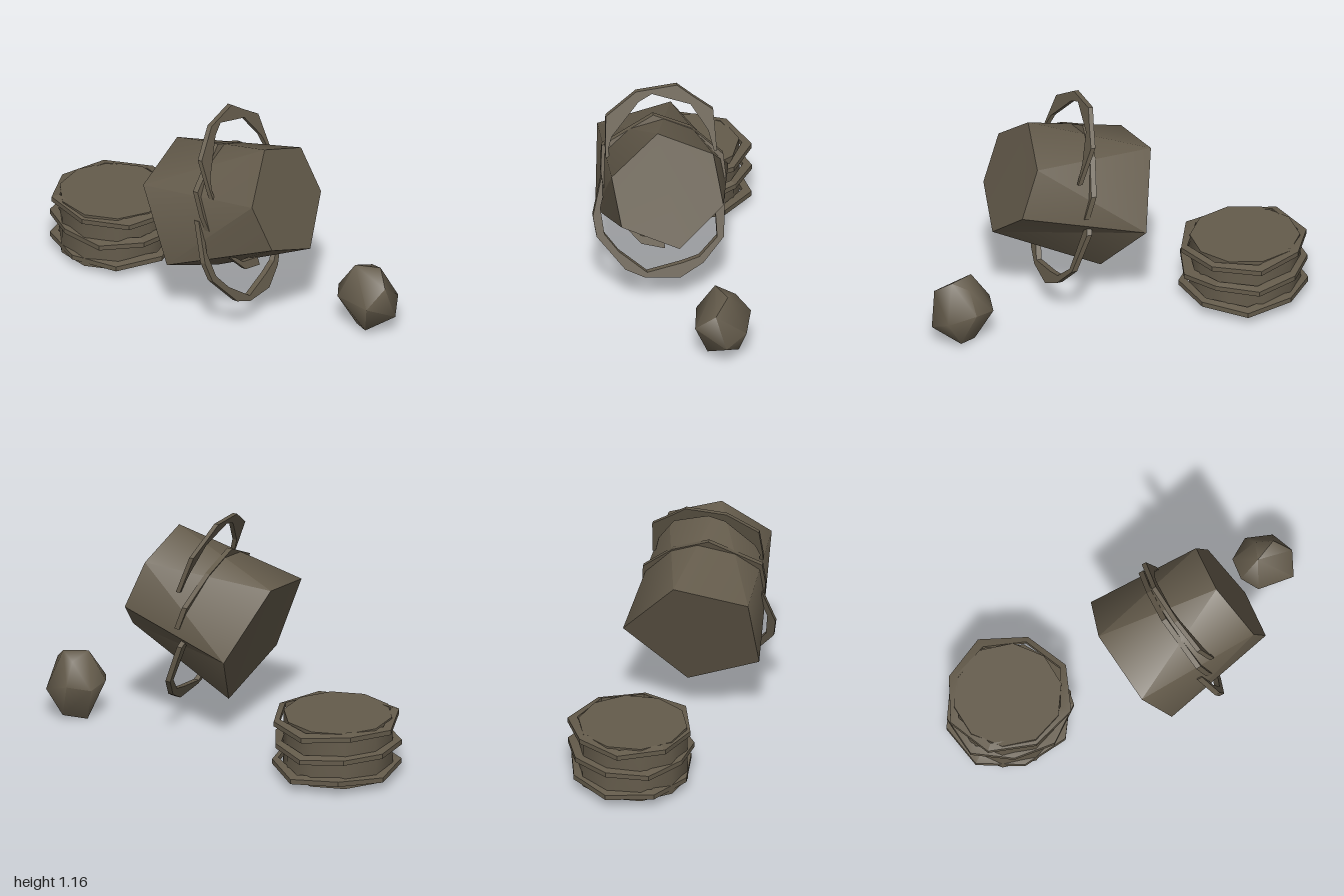
import * as THREE from 'three';
import { toCreasedNormals } from 'three/addons/utils/BufferGeometryUtils.js';
import { ConvexGeometry } from 'three/addons/geometries/ConvexGeometry.js';

const stone = new THREE.MeshStandardMaterial({ color: 0x645b4b, side: THREE.DoubleSide });
stone.name = 'dull brown';

// Skin a series of cross-sections; either join the ends or cap them.
function loft(rows, closed, crease) {
  const n = rows[0].length, index = [];
  const last = closed ? rows.length : rows.length - 1;
  for (let r = 0; r < last; r++) {
    const a = r * n, b = ((r + 1) % rows.length) * n;
    for (let i = 0; i < n; i++) {
      const j = (i + 1) % n;
      index.push(a + i, a + j, b + j, a + i, b + j, b + i);
    }
  }
  if (!closed) {
    const e = (rows.length - 1) * n;
    for (let i = 1; i < n - 1; i++) index.push(0, i + 1, i, e, e + i, e + i + 1);
  }
  const g = new THREE.BufferGeometry();
  g.setAttribute('position', new THREE.Float32BufferAttribute(rows.flat(2), 3));
  g.setIndex(index);
  return toCreasedNormals(g, crease);
}

function add(parent, geometry, name) {
  const mesh = new THREE.Mesh(geometry, stone);
  mesh.name = name;
  parent.add(mesh);
}

// Flat strap in a slanted plane; each point is outer z, y then inner z, y.
function strap(points, x0, y0, slope, half) {
  return loft(points.map(([zo, yo, zi, yi]) => {
    const at = (z, y, s) => [x0 + slope * (y - y0) + s * half, y, z];
    return [at(zo, yo, -1), at(zo, yo, 1), at(zi, yi, 1), at(zi, yi, -1)];
  }), false, 0.3);
}

// Uneven flat hoop around the drum.
function hoop(y, sides, turn, tilt) {
  const rows = [];
  for (let i = 0; i < sides; i++) {
    const a = turn + i / sides * Math.PI * 2;
    const ro = 0.33 + 0.012 * Math.sin(i * 2.3 + turn);
    const ri = 0.285 + 0.012 * Math.cos(i * 1.9 + turn);
    const lift = 0.008 * Math.sin(i * 2.7 + turn * 3);
    const at = (r, h) => [-0.67 + r * Math.cos(a), y + h + lift - tilt * r * Math.cos(a), -0.14 + r * 0.97 * Math.sin(a)];
    rows.push([at(ro, -0.016), at(ro, 0.01), at(ri, 0.02), at(ri, -0.006)]);
  }
  return loft(rows, true, 0.3);
}

export function createModel() {
  const model = new THREE.Group();

  // Tilted bucket: six-sided narrow end, five-sided wide end
  const bucket = new THREE.Group();
  bucket.name = 'bucket';
  const wide = [[-0.22, 0.86, 0], [-0.1, 0.54, -0.28], [-0.1, 0.54, -0.28],
    [0.04, 0.2, 0.03], [-0.03, 0.37, 0.41], [-0.19, 0.78, 0.38]];
  const narrow = [[0.39, 1.05, 0.145], [0.435, 0.935, -0.135], [0.53, 0.685, -0.175],
    [0.61, 0.49, 0.06], [0.56, 0.61, 0.35], [0.465, 0.855, 0.39]];
  add(bucket, loft([wide, narrow], false, 0.9), 'bucketBody');

  // Straps around the bucket
  add(bucket, strap([[0.39, 0.83, 0.37, 0.82], [0.39, 0.88, 0.375, 0.87], [0.38, 1.03, 0.355, 0.93],
    [0.22, 1.14, 0.21, 1.09], [0.01, 1.16, 0.14, 1.125], [-0.07, 1.1, -0.055, 1.063],
    [-0.17, 1.03, -0.14, 0.93], [-0.18, 0.83, -0.165, 0.83]], 0.1, 1.16, -0.364, 0.012), 'upperStrap');
  add(bucket, strap([[0.4, 0.64, 0.37, 0.64], [0.41, 0.72, 0.36, 0.74], [0.4, 0.85, 0.35, 0.82],
    [0.13, 0.985, 0.12, 0.93], [-0.06, 0.91, -0.04, 0.86], [-0.22, 0.77, -0.17, 0.76],
    [-0.23, 0.65, -0.19, 0.65]], 0.09, 0.98, -0.333, 0.014), 'middleStrap');
  add(bucket, strap([[0.4, 0.68, 0.37, 0.67], [0.455, 0.48, 0.415, 0.52], [0.44, 0.38, 0.4, 0.39],
    [0.3, 0.21, 0.33, 0.3], [0.2, 0.165, 0.19, 0.19], [0.02, 0.155, 0.01, 0.225],
    [-0.1, 0.22, -0.08, 0.25], [-0.21, 0.34, -0.175, 0.34], [-0.225, 0.55, -0.17, 0.57],
    [-0.16, 0.61, -0.14, 0.58]], 0.14, 0.68, -0.358, 0.014), 'lowerStrap');
  // Small loose strap end on the underside
  add(bucket, strap([[0.32, 0.49, 0.3, 0.45], [0.22, 0.4, 0.22, 0.36], [0.1, 0.37, 0.1, 0.33]],
    0.29, 0.42, -0.36, 0.012), 'strapEnd');
  model.add(bucket);

  // Upright drum with three hoops
  const drum = new THREE.Group();
  drum.name = 'drum';
  const body = new THREE.CylinderGeometry(0.28, 0.285, 0.3, 10);
  body.translate(-0.68, 0.18, -0.13);
  add(drum, toCreasedNormals(body, 0.8), 'drumBody');
  add(drum, hoop(0.065, 8, 0.25, 0), 'lowerHoop');
  add(drum, hoop(0.185, 9, 0.6, 0.01), 'middleHoop');
  add(drum, hoop(0.305, 8, 0.05, 0.01), 'upperHoop');
  model.add(drum);

  // Rounded stone
  const corners = [[0.68, 0.22, -0.1], [0.7, 0.2, -0.22], [0.78, 0.365, -0.1], [0.9, 0.36, -0.15],
    [0.97, 0.29, -0.08], [1, 0.11, -0.13], [0.92, 0.2, 0.02], [0.73, 0.21, -0.01],
    [0.77, 0, -0.13], [0.81, 0.22, -0.28], [0.95, 0.17, -0.24], [0.87, 0.03, -0.05],
    [0.87, 0.03, -0.21], [0.82, 0.33, -0.2]].map((p) => new THREE.Vector3(...p));
  add(model, toCreasedNormals(new ConvexGeometry(corners), 1.2), 'stone');

  return model;
}
